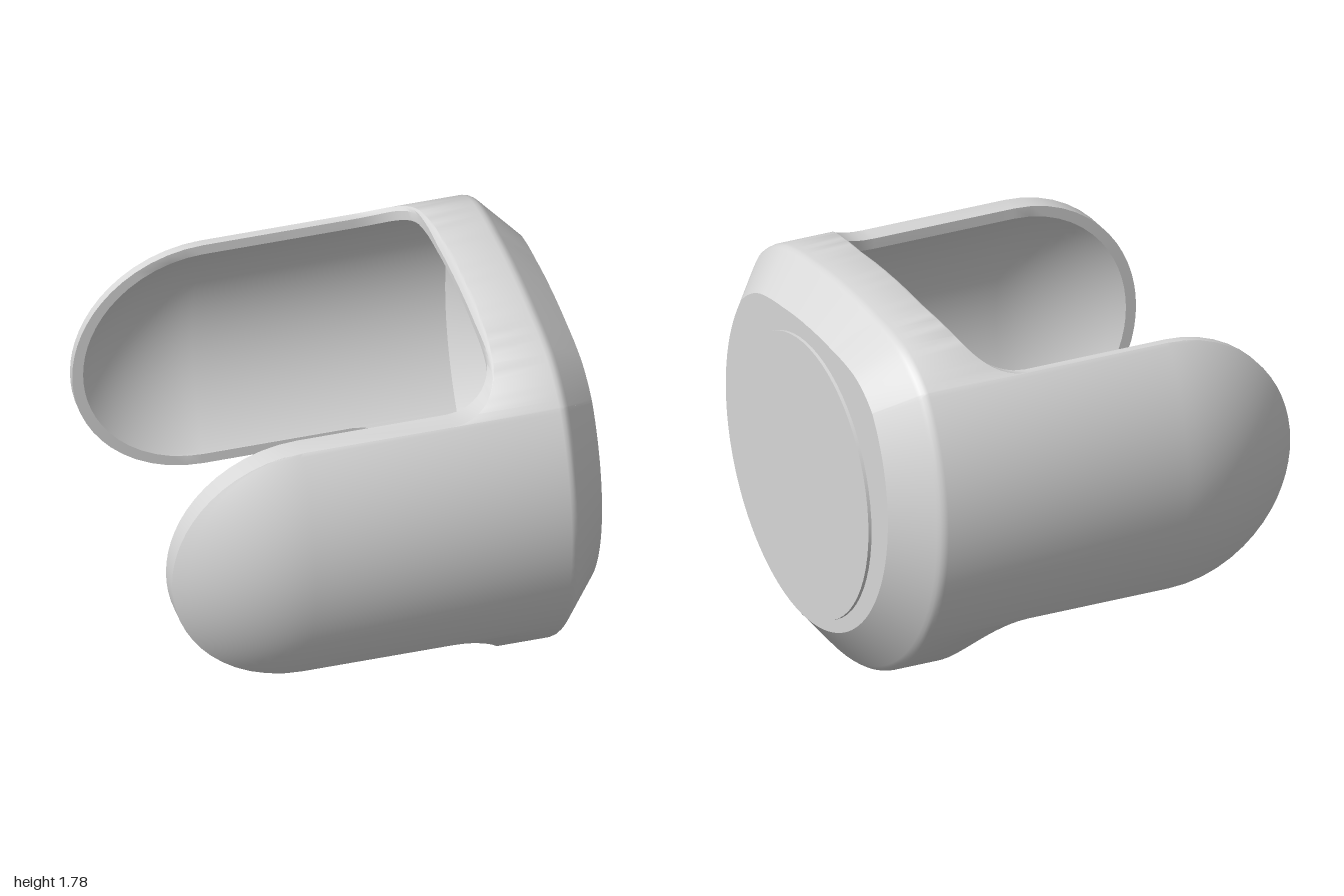
import * as THREE from 'three';
import { toCreasedNormals } from 'three/addons/utils/BufferGeometryUtils.js';

const CUT = 0.594;                // half height of the side arms
const ARM = -0.39;                // centre of the rounded arm ends
const INNER = 0.917;              // inner skin relative to the outer one
const SHIFT = -0.03;              // the hollow sits slightly off centre
const FLOOR = 0.9;                // inside floor of the cap
const PHI_CUT = Math.asin(CUT);   // angle where the arms meet the ring
const HALF_PI = Math.PI / 2;

// Radius of the section: a circle with a flattened top
const TOP = [[36.4, 1], [41, 0.984], [46, 0.962], [51, 0.934], [56, 0.897], [62, 0.858], [68, 0.824], [75, 0.801], [82, 0.786], [90, 0.78]];
function radius(phi, up) {
  const d = THREE.MathUtils.radToDeg(phi);
  if (up < 0 || d <= TOP[0][0]) return 1;
  for (let i = 1; i < TOP.length; i++) {
    const [a, ra] = TOP[i - 1], [b, rb] = TOP[i];
    if (d <= b) return ra + (rb - ra) * (d - a) / (b - a);
  }
  return 0.78;
}

// One quarter of the section: arm columns, then ring columns
function quarter(sz, sy) {
  const cols = [];
  for (let i = 0; i <= 14; i++) {
    const s = CUT * Math.sin(i / 14 * HALF_PI);
    const start = ARM - Math.sqrt(Math.max(0, (CUT * CUT - s * s) / (1 - s * s)));
    cols.push({ sz, sy, phi: Math.asin(s), r: 1, start, end: ARM, w: 0 });
  }
  for (let i = 0; i <= 22; i++) {
    const t = (i / 22) ** 1.6;
    const phi = PHI_CUT + (HALF_PI - PHI_CUT) * t;
    const r = radius(phi, sy);
    const e = (r * Math.sin(phi) - CUT) * (sy > 0 ? 1.3 : 1);
    const start = 0.29 + Math.sqrt(0.0625 - (0.25 - THREE.MathUtils.clamp(e, 0, 0.25)) ** 2);
    const w = THREE.MathUtils.smoothstep(t, 0, 0.7);
    cols.push({ sz, sy, phi, r, start, end: start + 0.03 * w, w });
  }
  return cols;
}

// Point on the outer skin
function outer(c, x, scale = 1, inset = 0) {
  const ball = x < ARM ? Math.sqrt(1 - (x - ARM) ** 2) : 1;
  const r = c.r * scale * ball - inset;
  return new THREE.Vector3(x, 1 + r * Math.sin(c.phi) * c.sy, r * Math.cos(c.phi) * c.sz);
}

// Point on the inner skin: the outer one, shrunk about the arm centre
function inner(c, x, scale = 1) {
  const p = outer(c, x, scale * INNER);
  if (x < ARM) p.x = ARM + (x - ARM) * INNER;
  p.z += SHIFT;
  return p;
}

// Flat lip edge, straight inwards from the outer rim
function lip(c) {
  const p = outer(c, c.start);
  p.y = 1 + (p.y - 1) * THREE.MathUtils.lerp(1, INNER, c.w);
  p.z = inner(c, c.start).z;
  return p;
}

// Whole profile of one column, from the inside floor over the rim to the end face
function profile(c) {
  const N = 10, pts = [];
  const at = k => THREE.MathUtils.lerp(c.start, c.end, k / N);
  pts.push(new THREE.Vector3(FLOOR, 0.9, 0), inner(c, FLOOR, 0.85), inner(c, 0.76));
  for (let k = N; k >= 0; k--) pts.push(inner(c, at(k)));
  pts.push(lip(c));
  for (let k = 0; k <= N; k++) {
    const a = k / N * HALF_PI;
    pts.push(outer(c, at(k), 1, 0.03 * c.w * (1 - Math.sin(a))));
  }
  for (const [x, s] of [[0.775, 1], [0.793, 0.996], [0.808, 0.986], [0.82, 0.973], [0.97, 0.795]]) pts.push(outer(c, x, s));
  pts.push(new THREE.Vector3(0.97, 0.9, 0));
  return pts;
}

function shellGeometry() {
  const loop = [
    ...quarter(1, 1), ...quarter(-1, 1).reverse(),
    ...quarter(-1, -1), ...quarter(1, -1).reverse(),
  ].map(profile);
  const pos = [], ab = new THREE.Vector3(), ac = new THREE.Vector3();
  const tri = (a, b, c) => {
    ab.subVectors(b, a);
    ac.subVectors(c, a);
    if (ab.cross(ac).length() < 1e-9) return;
    for (const p of [a, b, c]) pos.push(p.x, p.y, p.z);
  };
  loop.forEach((p, j) => {
    const q = loop[(j + 1) % loop.length];
    for (let i = 0; i < p.length - 1; i++) {
      tri(p[i], p[i + 1], q[i + 1]);
      tri(p[i], q[i + 1], q[i]);
    }
  });
  const g = new THREE.BufferGeometry();
  g.setAttribute('position', new THREE.Float32BufferAttribute(pos, 3));
  return toCreasedNormals(g, 0.5);
}

export function createModel() {
  const group = new THREE.Group();
  group.name = 'endCap';
  const grey = new THREE.MeshStandardMaterial({ color: 0xd8d8d8 });
  grey.name = 'light grey';

  // Hollow cap with two rounded side arms
  const shell = new THREE.Mesh(shellGeometry(), grey);
  shell.name = 'capWithArms';
  group.add(shell);

  // Thin raised disc on the end face
  const disc = new THREE.Mesh(new THREE.CylinderGeometry(0.645, 0.645, 0.03, 64), grey);
  disc.name = 'endDisc';
  disc.rotation.z = -HALF_PI;
  disc.position.set(0.97, 0.895, 0.01);
  group.add(disc);

  return group;
}
